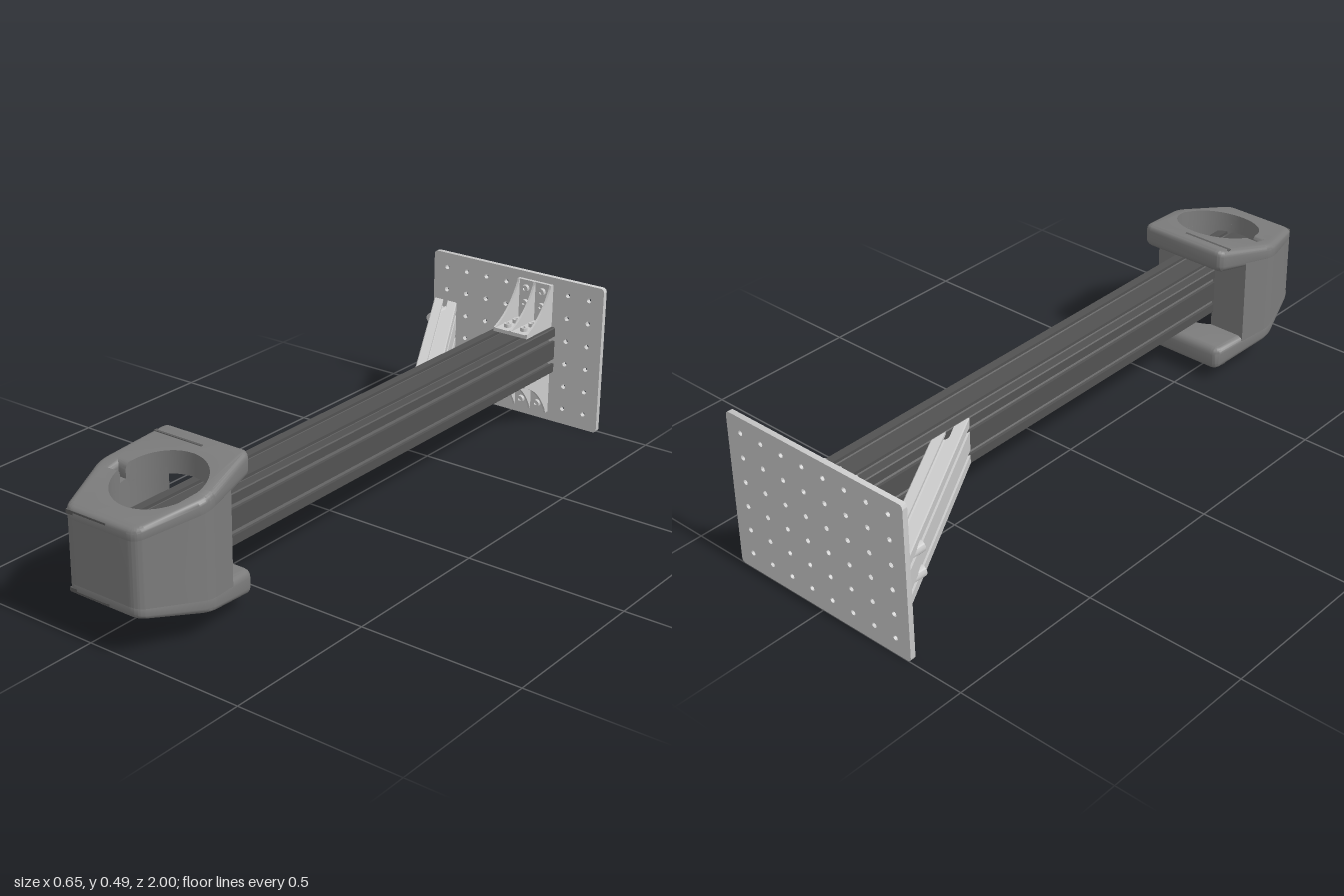
import * as THREE from 'three';
import { toCreasedNormals } from 'three/addons/utils/BufferGeometryUtils.js';

const metal = new THREE.MeshStandardMaterial({ color: 0xcccccc });
const darkMetal = new THREE.MeshStandardMaterial({ color: 0x525252 });
const clampGrey = new THREE.MeshStandardMaterial({ color: 0x7c7c7c });
const grooveGrey = new THREE.MeshStandardMaterial({ color: 0x5c5c5c });
const MID = 0.2485;      // height of the beam axis
const PLATE_Z = -0.983;  // front face of the wall plate

function add(parent, name, geometry, material, x = 0, y = 0, z = 0) {
  const mesh = new THREE.Mesh(geometry, material);
  mesh.name = name;
  mesh.position.set(x, y, z);
  parent.add(mesh);
  return mesh;
}

// Polygon with each corner [x, y, radius] rounded off
function roundedShape(corners) {
  const shape = new THREE.Shape();
  const n = corners.length;
  corners.forEach(([x, y, r], i) => {
    const p = new THREE.Vector2(x, y);
    const toward = ([a, b]) => new THREE.Vector2(a, b).sub(p).setLength(r).add(p);
    const a = toward(corners[(i + n - 1) % n]);
    const b = toward(corners[(i + 1) % n]);
    if (i) shape.lineTo(a.x, a.y); else shape.moveTo(a.x, a.y);
    if (r) shape.quadraticCurveTo(x, y, b.x, b.y);
  });
  return shape;
}

// Slotted profile: T-slots at the given offsets on each side
function slottedProfile(w, h, slotsX, slotsY) {
  const pts = [];
  const slot = [[-0.008, 0], [-0.008, 0.009], [-0.018, 0.009], [-0.018, 0.014], [-0.009, 0.025],
    [0.009, 0.025], [0.018, 0.014], [0.018, 0.009], [0.008, 0.009], [0.008, 0]];
  for (let side = 0; side < 4; side++) {
    const [half, depth, offsets] = side % 2 ? [h / 2, w / 2, slotsY] : [w / 2, h / 2, slotsX];
    const local = [[-half + 0.003, 0]];
    for (const o of offsets) for (const [u, d] of slot) local.push([o + u, d]);
    local.push([half - 0.003, 0]);
    const c = [1, 0, -1, 0][side], s = [0, 1, 0, -1][side];
    for (const [u, d] of local) {
      const v = d - depth;
      pts.push(new THREE.Vector2(u * c - v * s, u * s + v * c));
    }
  }
  return new THREE.Shape(pts);
}

function moveVertices(geometry, rule) {
  const pos = geometry.attributes.position;
  const v = new THREE.Vector3();
  for (let i = 0; i < pos.count; i++) {
    rule(v.fromBufferAttribute(pos, i));
    pos.setXYZ(i, v.x, v.y, v.z);
  }
  geometry.computeVertexNormals();
  return geometry;
}

// Bolt head with hexagon socket, pointing along +z
function bolt(r, length) {
  const g = new THREE.Group();
  g.name = 'bolt';
  const head = new THREE.Shape().absarc(0, 0, r, 0, Math.PI * 2);
  const socket = Array.from({ length: 6 }, (_, i) =>
    new THREE.Vector2(Math.cos(i * Math.PI / 3), Math.sin(i * Math.PI / 3)).multiplyScalar(r * 0.5));
  head.holes.push(new THREE.Path(socket));
  add(g, 'boltHead', toCreasedNormals(new THREE.ExtrudeGeometry(head,
    { depth: length, bevelEnabled: false, curveSegments: 20 }), 0.6), metal);
  add(g, 'socketFloor', new THREE.CircleGeometry(r * 0.6, 12), metal, 0, 0, length * 0.5);
  return g;
}

function wallPlate() {
  const shape = roundedShape([[-0.325, 0, 0.014], [0.325, 0, 0.014], [0.325, 0.492, 0.014], [-0.325, 0.492, 0.014]]);
  for (let i = 0; i < 8; i++) for (let j = 0; j < 6; j++) {
    const hole = new THREE.Path();
    hole.absarc((i - 3.5) * 0.078, 0.053 + j * 0.078, 0.008, 0, Math.PI * 2, true);
    shape.holes.push(hole);
  }
  return toCreasedNormals(new THREE.ExtrudeGeometry(shape,
    { depth: 1 + PLATE_Z, bevelEnabled: false, curveSegments: 8 }), 0.8);
}

// Corner bracket standing on the beam's upper face; its origin is the inside corner
function bracket() {
  const g = new THREE.Group();
  g.name = 'cornerBracket';
  add(g, 'bracketFoot', new THREE.BoxGeometry(0.127, 0.012, 0.148), metal, 0, 0.006, 0.074);
  add(g, 'bracketBack', new THREE.BoxGeometry(0.127, 0.142, 0.012), metal, 0, 0.071, 0.006);
  const rib = new THREE.Shape();
  rib.moveTo(0, 0);
  rib.lineTo(0.148, 0);
  rib.lineTo(0.148, 0.014);
  rib.lineTo(0.135, 0.018);
  rib.quadraticCurveTo(0.06, 0.05, 0.018, 0.13);
  rib.lineTo(0.014, 0.142);
  rib.lineTo(0, 0.142);
  const ribGeo = new THREE.ExtrudeGeometry(rib, { depth: 0.007, bevelEnabled: false });
  for (const x of [-0.0635, -0.0035, 0.0565]) {
    add(g, 'bracketRib', ribGeo, metal, x + 0.007).rotation.y = -Math.PI / 2;
  }
  for (const x of [-0.031, 0.031]) for (const d of [0.065, 0.115]) {
    const back = bolt(0.012, 0.012);
    back.position.set(x, d, 0.012);
    const foot = bolt(0.012, 0.012);
    foot.position.set(x, 0.012, d);
    foot.rotation.x = -Math.PI / 2;
    g.add(back, foot);
  }
  return g;
}

// Diagonal brace, mitred against the plate and the beam's side
function brace() {
  const shape = slottedProfile(0.0775, 0.155, [0], [-0.039, 0.039]);
  const geo = new THREE.ExtrudeGeometry(shape, { depth: 1, bevelEnabled: false });
  return moveVertices(geo, v => {
    const p = v.x;
    const t = v.z < 0.5 ? 0.577 * p : 0.554 - 1.732 * p;
    v.set(-0.277 + 0.866 * p + 0.5 * t, v.y + MID, PLATE_Z - 0.5 * p + 0.866 * t);
  });
}

// Tapered six-sided clamp with a vertical bore and an open back
function clamp() {
  const g = new THREE.Group();
  g.name = 'clamp';
  const cx = 0.075, cz = 0.8, r = 0.13;
  const halfHeight = z => 0.125 + (1 - z) * 0.21;
  const finish = (geo, start, snapBore) => {
    geo.rotateX(-Math.PI / 2).translate(0, start, 0);
    moveVertices(geo, v => {
      const d = Math.hypot(v.x - cx, v.z - cz);
      if (snapBore && d < 0.152) {
        v.x = cx + (v.x - cx) * r / d;
        v.z = cz + (v.z - cz) * r / d;
      }
      v.y = MID + v.y * halfHeight(v.z);
    });
    return toCreasedNormals(geo, 0.55);
  };

  // Upper and lower rings, with the bore and its relief slot
  const ring = roundedShape([[-0.095, -0.585, 0.025], [-0.141, -0.8, 0.03], [-0.07, -1, 0.03],
    [0.175, -1, 0.03], [0.246, -0.8, 0.03], [0.2, -0.585, 0.025]]);
  const bore = new THREE.Path();
  bore.absarc(cx, -cz, r, -Math.PI + 0.085, Math.PI - 0.085);
  bore.lineTo(-0.08, -0.789);
  bore.lineTo(-0.08, -0.811);
  ring.holes.push(bore);
  for (const [name, start] of [['upperRing', 0.65], ['lowerRing', -1]]) {
    const geo = new THREE.ExtrudeGeometry(ring, { depth: 0.15, bevelThickness: 0.1, bevelSize: 0.018,
      bevelOffset: -0.018, bevelSegments: 4, curveSegments: 24 });
    add(g, name, finish(geo, start + 0.1, true), clampGrey);
  }

  // Front wall joining the two rings
  const wall = roundedShape([[-0.117, -0.69, 0], [-0.141, -0.8, 0.03], [-0.07, -1, 0.03],
    [0.175, -1, 0.03], [0.246, -0.8, 0.03], [0.222, -0.69, 0]]);
  wall.absarc(cx, -cz, r, 1.01, -Math.PI - 1.01, true);
  add(g, 'frontWall', finish(new THREE.ExtrudeGeometry(wall,
    { depth: 1.5, bevelEnabled: false, curveSegments: 24 }), -0.75, false), clampGrey);

  // Strap grooves along the front and back edges, above and below
  for (const s of [1, -1]) {
    add(g, 'frontGroove', new THREE.BoxGeometry(0.14, 0.012, 0.014), grooveGrey, 0.005, MID + s * 0.112, 0.993);
    add(g, 'backGroove', new THREE.BoxGeometry(0.17, 0.006, 0.014), grooveGrey, -0.01, MID + s * 0.2, 0.63);
  }
  return g;
}

export function createModel() {
  const model = new THREE.Group();
  model.name = 'wallArm';
  add(model, 'wallPlate', wallPlate(), metal, 0, 0, -1);

  // Main beam
  const profile = slottedProfile(0.155, 0.155, [-0.039, 0.039], [-0.039, 0.039]);
  add(model, 'beam', new THREE.ExtrudeGeometry(profile, { depth: 0.95 - PLATE_Z, bevelEnabled: false }),
    darkMetal, 0.0765, MID, PLATE_Z);

  // Brace and its bolts
  add(model, 'diagonalBrace', brace(), metal);
  for (const y of [0.209, 0.287]) {
    const b = bolt(0.017, 0.09);
    b.position.set(-0.273, y, PLATE_Z);
    model.add(b);
  }

  // Brackets above and below the beam
  const top = bracket();
  top.position.set(0.0765, MID + 0.0775, PLATE_Z);
  const bottom = bracket();
  bottom.position.set(0.0765, MID - 0.0775, PLATE_Z);
  bottom.scale.y = -1;
  model.add(top, bottom, clamp());
  return model;
}
